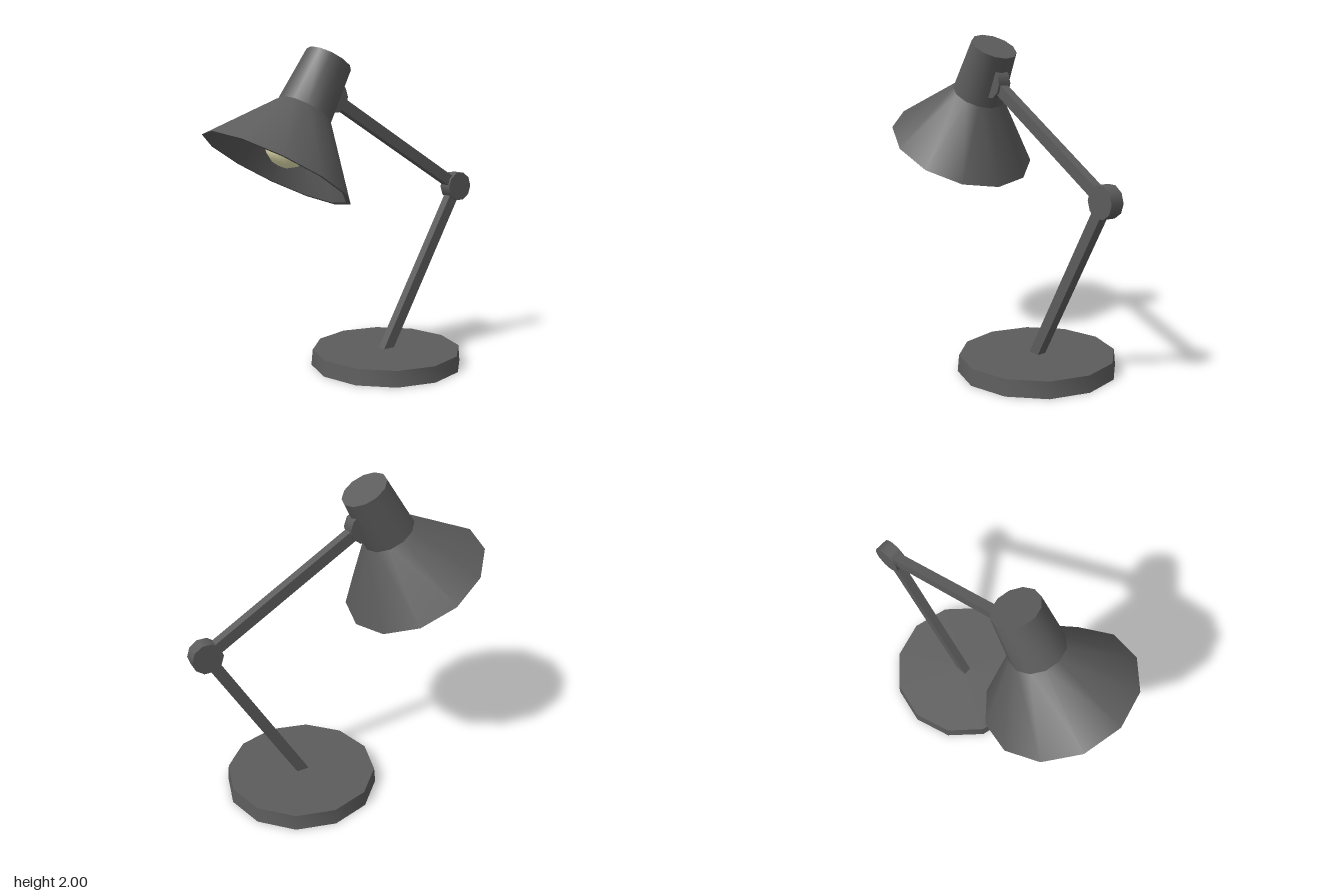
import * as THREE from 'three';
import { toCreasedNormals } from 'three/addons/utils/BufferGeometryUtils.js';

const SIDES = 12;
const ARM_WIDTH = 0.056;
const ARM_DEPTH = 0.07;

export function createModel() {
  const lamp = new THREE.Group();
  lamp.name = 'deskLamp';

  const dark = new THREE.MeshStandardMaterial({ color: 0x5c5c5c });
  const darkOpen = new THREE.MeshStandardMaterial({ color: 0x5c5c5c, side: THREE.DoubleSide });
  const glow = new THREE.MeshStandardMaterial({ color: 0xf0ecb8 });

  const add = (name, geometry, material, parent = lamp) => {
    const mesh = new THREE.Mesh(geometry, material);
    mesh.name = name;
    parent.add(mesh);
    return mesh;
  };

  // Twelve-sided turned shape, smooth around and sharp at its edges
  const turned = (profile) => {
    const points = profile.map(([r, y]) => new THREE.Vector2(r, y));
    return toCreasedNormals(new THREE.LatheGeometry(points, SIDES), 0.56);
  };

  // Square bar between two points in the x = 0 plane
  const addArm = (name, from, to) => {
    const along = to.clone().sub(from);
    const arm = add(name, new THREE.BoxGeometry(ARM_WIDTH, along.length(), ARM_DEPTH), dark);
    arm.position.copy(from).add(to).multiplyScalar(0.5);
    arm.rotation.x = Math.atan2(along.z, along.y);
  };

  // Hinge disc with its axis along x
  const addHinge = (name, position) => {
    const disc = new THREE.CylinderGeometry(0.095, 0.095, 0.086, 10).rotateZ(Math.PI / 2);
    add(name, disc, dark).position.copy(position);
  };

  // Hollow base, open underneath
  const base = add('base', turned([[0.485, 0], [0.476, 0.1], [0, 0.1]]), darkOpen);
  base.position.z = -0.265;

  // Arms and hinges; the lower arm reaches just through the base plate
  const foot = new THREE.Vector3(0, 0.05, -0.238);
  const elbow = new THREE.Vector3(0, 1.113, -0.847);
  const neck = new THREE.Vector3(0, 1.71, 0.163);
  addArm('lowerArm', foot, elbow);
  addArm('upperArm', elbow, neck);
  addHinge('elbowHinge', elbow);
  addHinge('shadeHinge', neck);

  // Tilted head: origin at the centre of the shade opening
  const head = new THREE.Group();
  head.name = 'head';
  head.position.set(0, 1.3, 0.54);
  head.rotation.x = -Math.PI / 6;
  lamp.add(head);

  // Shade wall: down the inside, over the rim, up the outside, closed on top
  add('shade', turned([
    [0, 0.705], [0.12, 0.705], [0.145, 0.388], [0.44, 0],
    [0.47, 0], [0.168, 0.388], [0.144, 0.728], [0, 0.728],
  ]), dark, head);

  const bulb = add('bulb', new THREE.SphereGeometry(0.142, 12, 8), glow, head);
  bulb.position.y = 0.167;

  return lamp;
}
